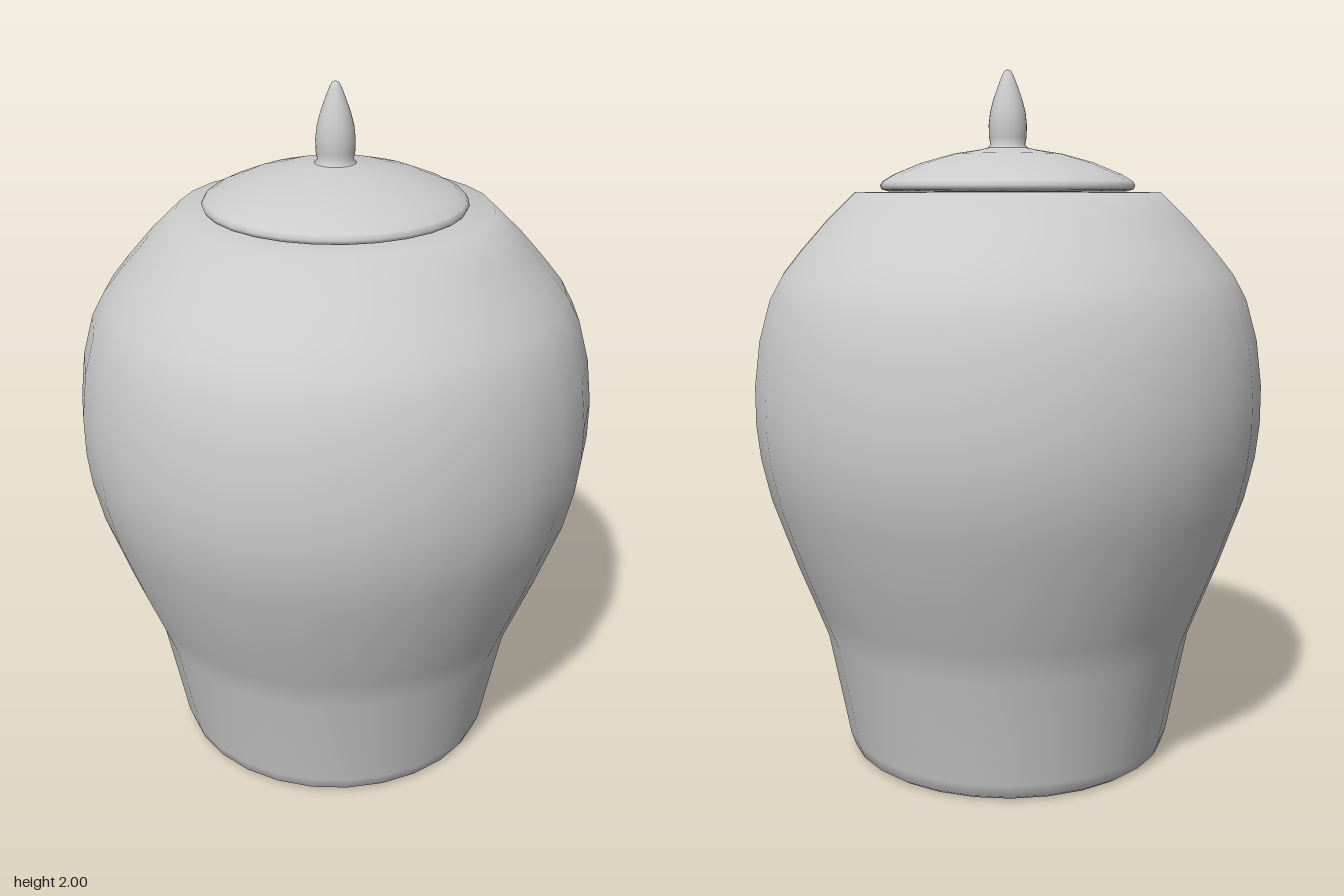
import * as THREE from 'three';

const SIDES = 28;
const material = new THREE.MeshStandardMaterial({ color: 0xcccccc });

// Smooth turned part from [radius, height] pairs, listed bottom to top.
function turned(name, profile) {
  const points = profile.map(([r, y]) => new THREE.Vector2(r, y));
  const mesh = new THREE.Mesh(new THREE.LatheGeometry(points, SIDES), material);
  mesh.name = name;
  return mesh;
}

export function createModel() {
  const urn = new THREE.Group();
  urn.name = 'lidded urn';

  // Flared foot, swelling belly, shoulder and flat rim running under the lid
  urn.add(turned('body', [
    [0.455, 0], [0.472, 0.012], [0.485, 0.05], [0.545, 0.36],
    [0.585, 0.465], [0.63, 0.58], [0.7, 0.78], [0.727, 0.9], [0.738, 1.0],
    [0.738, 1.11], [0.722, 1.24], [0.69, 1.355], [0.652, 1.425], [0.6, 1.49],
    [0.525, 1.575], [0.442, 1.655], [0.3, 1.655],
  ]));

  // Flat underside of the foot
  const base = new THREE.Mesh(new THREE.CircleGeometry(0.455, SIDES), material);
  base.name = 'base';
  base.rotation.x = Math.PI / 2;
  urn.add(base);

  // Shallow domed lid with a rounded lip
  urn.add(turned('lid', [
    [0, 1.657], [0.345, 1.657], [0.365, 1.663], [0.37, 1.674], [0.362, 1.686],
    [0.33, 1.705], [0.25, 1.738], [0.16, 1.763], [0.09, 1.774], [0.05, 1.782],
  ]));

  // Pointed finial
  urn.add(turned('finial', [
    [0.062, 1.776], [0.05, 1.79], [0.054, 1.81], [0.055, 1.845], [0.051, 1.88],
    [0.042, 1.915], [0.029, 1.952], [0.016, 1.985], [0.009, 1.997], [0, 2],
  ]));

  return urn;
}
